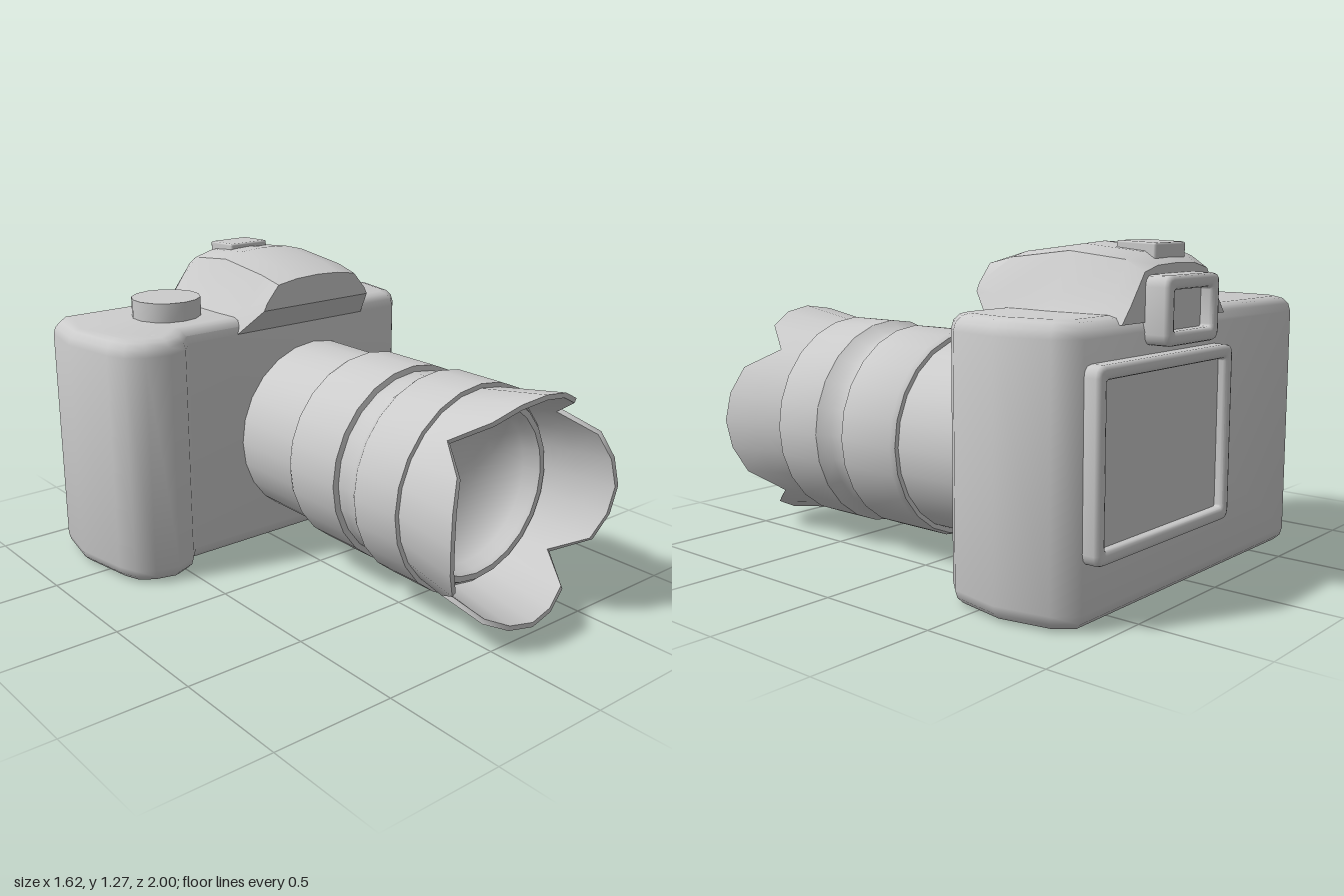
import * as THREE from 'three';
import { toCreasedNormals } from 'three/addons/utils/BufferGeometryUtils.js';
import { RoundedBoxGeometry } from 'three/addons/geometries/RoundedBoxGeometry.js';

const grey = new THREE.MeshStandardMaterial({ color: 0xcccccc });
const greyDouble = new THREE.MeshStandardMaterial({ color: 0xcccccc, side: THREE.DoubleSide });

function part(name, geometry, x = 0, y = 0, z = 0, material = grey) {
  const mesh = new THREE.Mesh(geometry, material);
  mesh.name = name;
  mesh.position.set(x, y, z);
  return mesh;
}

const vectors = (list) => list.map(([x, y]) => new THREE.Vector2(x, y));

// Body with hand grip: footprint given as (x, z), extruded upwards with rounded edges
function bodyGeometry() {
  const footprint = [
    [-0.7, -0.91], [-0.77, -0.83], [-0.81, -0.62], [-0.77, -0.38], [-0.74, -0.3],
    [-0.67, -0.25], [-0.57, -0.225], [-0.48, -0.26], [-0.42, -0.335], [0.7, -0.335],
    [0.77, -0.41], [0.81, -0.62], [0.77, -0.83], [0.7, -0.91],
  ];
  const shape = new THREE.Shape(vectors(footprint.map(([x, z]) => [x, -z])));
  const geometry = new THREE.ExtrudeGeometry(shape, {
    depth: 0.91, bevelThickness: 0.06, bevelSize: 0.06, bevelOffset: -0.06, bevelSegments: 3,
  });
  geometry.rotateX(-Math.PI / 2).translate(0, 0.06, 0);
  return toCreasedNormals(geometry, 0.9);
}

// Prism housing: symmetric cross-sections from front to back, each a half profile of (x, y)
function prismGeometry() {
  const sections = [
    { z: -0.225, half: [[0.28, 1.08], [0.265, 1.11], [0.205, 1.18], [0.11, 1.195], [0, 1.2]] },
    { z: -0.335, half: [[0.34, 0.97], [0.29, 1.07], [0.21, 1.205], [0.12, 1.225], [0, 1.23]] },
    { z: -0.6, half: [[0.35, 1.0], [0.29, 1.08], [0.21, 1.235], [0.12, 1.258], [0, 1.265]] },
    { z: -0.84, half: [[0.35, 1.0], [0.29, 1.07], [0.21, 1.21], [0.12, 1.235], [0, 1.24]] },
    { z: -0.91, half: [[0.33, 1.0], [0.28, 1.06], [0.2, 1.17], [0.12, 1.19], [0, 1.195]] },
  ];
  const positions = [];
  const index = [];
  for (const { z, half } of sections) {
    const right = half.slice(0, -1).reverse();
    for (const [x, y] of half) positions.push(-x, y, z);
    for (const [x, y] of right) positions.push(x, y, z);
  }
  const n = 9;
  for (let i = 0; i < sections.length - 1; i++) {
    for (let j = 0; j < n; j++) {
      const a = i * n + j, b = i * n + ((j + 1) % n), c = a + n, d = b + n;
      index.push(a, b, c, b, d, c);
    }
  }
  const last = (sections.length - 1) * n;
  for (let j = 1; j < n - 1; j++) {
    index.push(0, j + 1, j, last, last + j, last + j + 1);
  }
  const geometry = new THREE.BufferGeometry();
  geometry.setAttribute('position', new THREE.Float32BufferAttribute(positions, 3));
  geometry.setIndex(index);
  return toCreasedNormals(geometry, 0.75);
}

// Turned part around the z axis, profile given as (radius, z)
const turned = (profile) => new THREE.LatheGeometry(vectors(profile), 24).rotateX(Math.PI / 2);

// Lens hood: a flared tube whose rim is cut into four petals
function hoodGeometry() {
  const outer = 0.41, inner = 0.39, base = 0.67;
  const geometry = turned([
    [outer, 0], [outer, 0.5], [outer, 1], [inner, 1], [inner, 0.5], [inner, 0],
  ]);
  const rim = [1, 0.985, 0.95, 0.81];
  const p = geometry.attributes.position;
  for (let i = 0; i < p.count; i++) {
    const step = Math.round(Math.atan2(p.getY(i), p.getX(i)) / (Math.PI / 12)) + 24;
    const edge = rim[Math.min(step % 6, 6 - (step % 6))];
    const z = base + p.getZ(i) * (edge - base);
    const radius = Math.hypot(p.getX(i), p.getY(i));
    const flare = (radius + (z - base) * 0.16) / radius;
    p.setXYZ(i, p.getX(i) * flare, p.getY(i) * flare, z);
  }
  return toCreasedNormals(geometry, 0.8);
}

function lens() {
  const group = new THREE.Group();
  group.name = 'lens';
  group.position.set(0.23, 0.485, 0);
  const barrel = turned([
    [0.39, -0.4], [0.39, 0.02], [0.408, 0.02], [0.418, 0.04], [0.418, 0.31], [0.395, 0.315],
    [0.39, 0.34], [0.395, 0.4], [0.43, 0.45], [0.43, 0.68], [0.385, 0.68],
  ]);
  const glass = [[0.385, 0.68], [0.375, 0.7], [0.35, 0.7], [0.34, 0.68]];
  for (let i = 1; i <= 6; i++) {
    const a = (i / 6) * (Math.PI / 2);
    glass.push([0.34 * Math.cos(a), 0.68 - 0.2 * Math.sin(a)]);
  }
  group.add(
    part('lensBarrel', toCreasedNormals(barrel, 0.6)),
    part('frontElement', toCreasedNormals(turned(glass), 0.8), 0, 0, 0, greyDouble),
    part('lensHood', hoodGeometry(), 0, 0, 0, greyDouble),
  );
  return group;
}

function roundedRect(PathType, w, h, r) {
  const path = new PathType();
  const x = w / 2, y = h / 2;
  path.moveTo(-x + r, -y);
  path.lineTo(x - r, -y).quadraticCurveTo(x, -y, x, -y + r);
  path.lineTo(x, y - r).quadraticCurveTo(x, y, x - r, y);
  path.lineTo(-x + r, y).quadraticCurveTo(-x, y, -x, y - r);
  path.lineTo(-x, -y + r).quadraticCurveTo(-x, -y, -x + r, -y);
  return path;
}

// Raised frame with a recessed panel, standing out from the back of the body
function framedPanel(name, w, h, border, depth, recess) {
  const group = new THREE.Group();
  group.name = name;
  const shape = roundedRect(THREE.Shape, w, h, 0.04);
  shape.holes.push(roundedRect(THREE.Path, w - 2 * border, h - 2 * border, 0.01));
  const frame = new THREE.ExtrudeGeometry(shape, {
    depth: depth - 0.015, curveSegments: 3,
    bevelThickness: 0.015, bevelSize: 0.015, bevelOffset: -0.015, bevelSegments: 2,
  });
  group.add(
    part(name + 'Frame', toCreasedNormals(frame, 0.9)),
    part(name + 'Panel', new THREE.BoxGeometry(w - border, h - border, 0.02), 0, 0, depth - recess - 0.01),
  );
  group.rotation.y = Math.PI;
  return group;
}

export function createModel() {
  const camera = new THREE.Group();
  camera.name = 'camera';

  camera.add(part('body', bodyGeometry()));
  camera.add(part('prismHousing', prismGeometry(), 0.165));
  camera.add(lens());

  // Controls on top
  const dial = toCreasedNormals(new THREE.CylinderGeometry(0.147, 0.147, 0.1, 14), 0.7);
  camera.add(part('modeDial', dial, -0.35, 1.06, -0.61));
  const button = new THREE.LatheGeometry(
    vectors([[0.045, -0.025], [0.057, -0.012], [0.057, 0.008], [0.04, 0.022], [0, 0.026]]), 14);
  const shutter = part('shutterButton', button, -0.575, 1.003, -0.312);
  shutter.rotation.x = 0.15;
  camera.add(shutter);
  const shoe = part('accessoryShoe', new RoundedBoxGeometry(0.195, 0.06, 0.165, 1, 0.008), 0.165, 1.238, -0.8);
  shoe.rotation.x = -0.04;
  camera.add(shoe);

  // Back
  const screen = framedPanel('screen', 0.84, 0.66, 0.05, 0.07, 0.035);
  screen.position.set(0.28, 0.56, -0.9);
  const eyepiece = framedPanel('eyepiece', 0.34, 0.24, 0.05, 0.12, 0.05);
  eyepiece.position.set(0.19, 1.04, -0.88);
  camera.add(screen, eyepiece);

  return camera;
}
